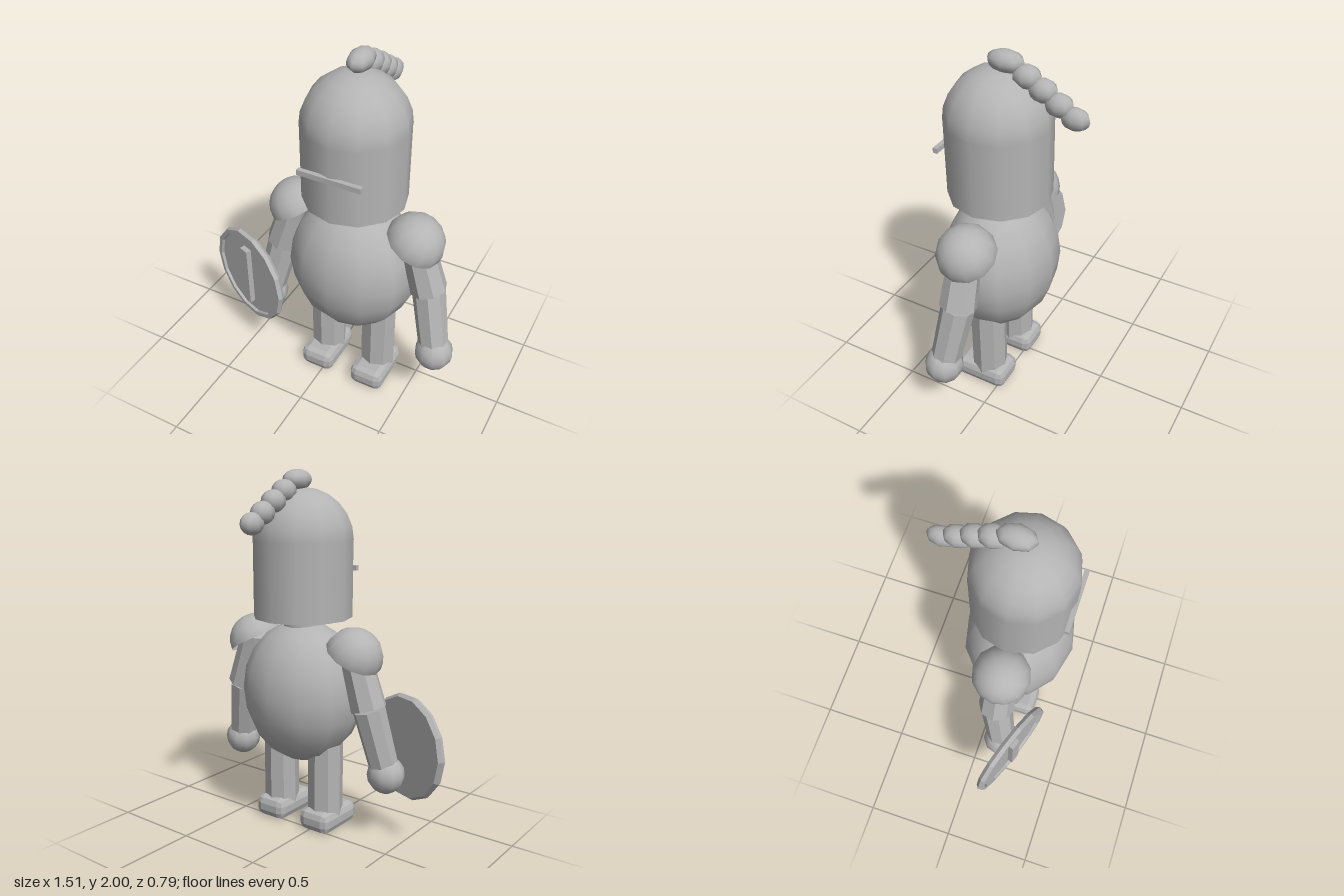
import * as THREE from 'three';
import { RoundedBoxGeometry } from 'three/addons/geometries/RoundedBoxGeometry.js';

const CX = 0.1225, CZ = 0.085; // body axis

export function createModel() {
  const model = new THREE.Group();
  model.name = 'knight';
  const steel = new THREE.MeshStandardMaterial({ color: 0xb4b4b4 });
  steel.name = 'steel grey';
  steel.side = THREE.DoubleSide;

  const add = (name, geometry, x, y, z, parent = model) => {
    const mesh = new THREE.Mesh(geometry, steel);
    mesh.name = name;
    mesh.position.set(x, y, z);
    parent.add(mesh);
    return mesh;
  };
  const faceted = (geometry) => {
    const g = geometry.toNonIndexed();
    g.computeVertexNormals();
    return g;
  };
  const ellipsoid = (rx, ry, rz, w = 12, h = 10) =>
    new THREE.SphereGeometry(1, w, h).scale(rx, ry, rz);

  // Eight-sided limb running from point a to point b
  const limb = (name, a, b, ra, rb, parent) => {
    const dir = b.clone().sub(a);
    const mesh = add(name, faceted(new THREE.CylinderGeometry(rb, ra, dir.length(), 8)),
      ...a.clone().add(b).multiplyScalar(0.5).toArray(), parent);
    mesh.quaternion.setFromUnitVectors(new THREE.Vector3(0, 1, 0), dir.normalize());
    return mesh;
  };

  // Torso, neck and helmet
  add('body', ellipsoid(0.36, 0.405, 0.31), CX, 0.785, CZ);
  add('neck', new THREE.CylinderGeometry(0.11, 0.11, 0.12, 12), CX, 1.2, CZ);
  add('helmet', new THREE.CylinderGeometry(0.275, 0.275, 0.42, 12), CX, 1.42, CZ);
  add('helmetDome', new THREE.SphereGeometry(0.277, 12, 6, 0, Math.PI * 2, 0, Math.PI / 2), CX, 1.63, CZ);
  add('visorSlit', new THREE.BoxGeometry(0.345, 0.028, 0.025), CX, 1.461, 0.357);

  // Plume of overlapping beads trailing behind the helmet
  [
    [1.945, 0.04, 0.062, 0.055, 0.1],
    [1.89, -0.07, 0.06, 0.06, 0.075],
    [1.84, -0.155, 0.058, 0.06, 0.075],
    [1.785, -0.24, 0.055, 0.06, 0.075],
    [1.735, -0.322, 0.048, 0.058, 0.077],
  ].forEach(([y, z, rx, ry, rz]) => add('plumeBead', ellipsoid(rx, ry, rz, 8, 8), CX, y, z));

  // Arms and legs, mirrored about the body axis
  for (const s of [1, -1]) {
    const side = s > 0 ? 'left' : 'right';
    const arm = new THREE.Group();
    arm.name = side + 'Arm';
    model.add(arm);
    const at = (dx, y, z) => new THREE.Vector3(CX + s * dx, y, z);
    const shoulder = at(0.345, 1.07, CZ);
    const elbow = at(0.442, 0.755, CZ + 0.005);
    const hand = at(0.523, 0.383, 0.148);

    const pad = add('shoulderPad',
      new THREE.SphereGeometry(0.16, 12, 6, 0, Math.PI * 2, 0, Math.PI / 2),
      ...at(0.342, 1.027, CZ).toArray(), arm);
    pad.rotation.z = -s * 0.5;
    limb('upperArm', shoulder, elbow, 0.085, 0.1, arm);
    limb('forearm', elbow, hand, 0.09, 0.08, arm);
    add('hand', ellipsoid(0.105, 0.105, 0.105, 10, 8), ...hand.toArray(), arm);

    const leg = new THREE.Group();
    leg.name = side + 'Leg';
    model.add(leg);
    limb('leg', at(0.16, 0.08, CZ), at(0.16, 0.58, CZ), 0.1, 0.1, leg);
    add('foot', faceted(new RoundedBoxGeometry(0.2, 0.125, 0.31, 1, 0.042)),
      CX + s * 0.16, 0.0625, 0.11, leg);
  }

  // Round shield with a raised rim and an upright bar
  const shield = new THREE.Group();
  shield.name = 'shield';
  shield.position.set(-0.477, 0.538, 0.225);
  shield.rotation.y = -0.35;
  model.add(shield);
  const profile = [[0, -0.02], [0.28, -0.02], [0.296, 0], [0.288, 0.022], [0.264, 0.022], [0.258, 0.008], [0, 0.008]]
    .map(([r, y]) => new THREE.Vector2(r, y));
  const disc = faceted(new THREE.LatheGeometry(profile, 14));
  disc.rotateY(Math.PI / 2).rotateX(Math.PI / 2);
  add('shieldDisc', disc, 0, 0, 0, shield);
  add('shieldBar', new THREE.BoxGeometry(0.06, 0.38, 0.035), 0, 0, 0.022, shield);

  return model;
}
